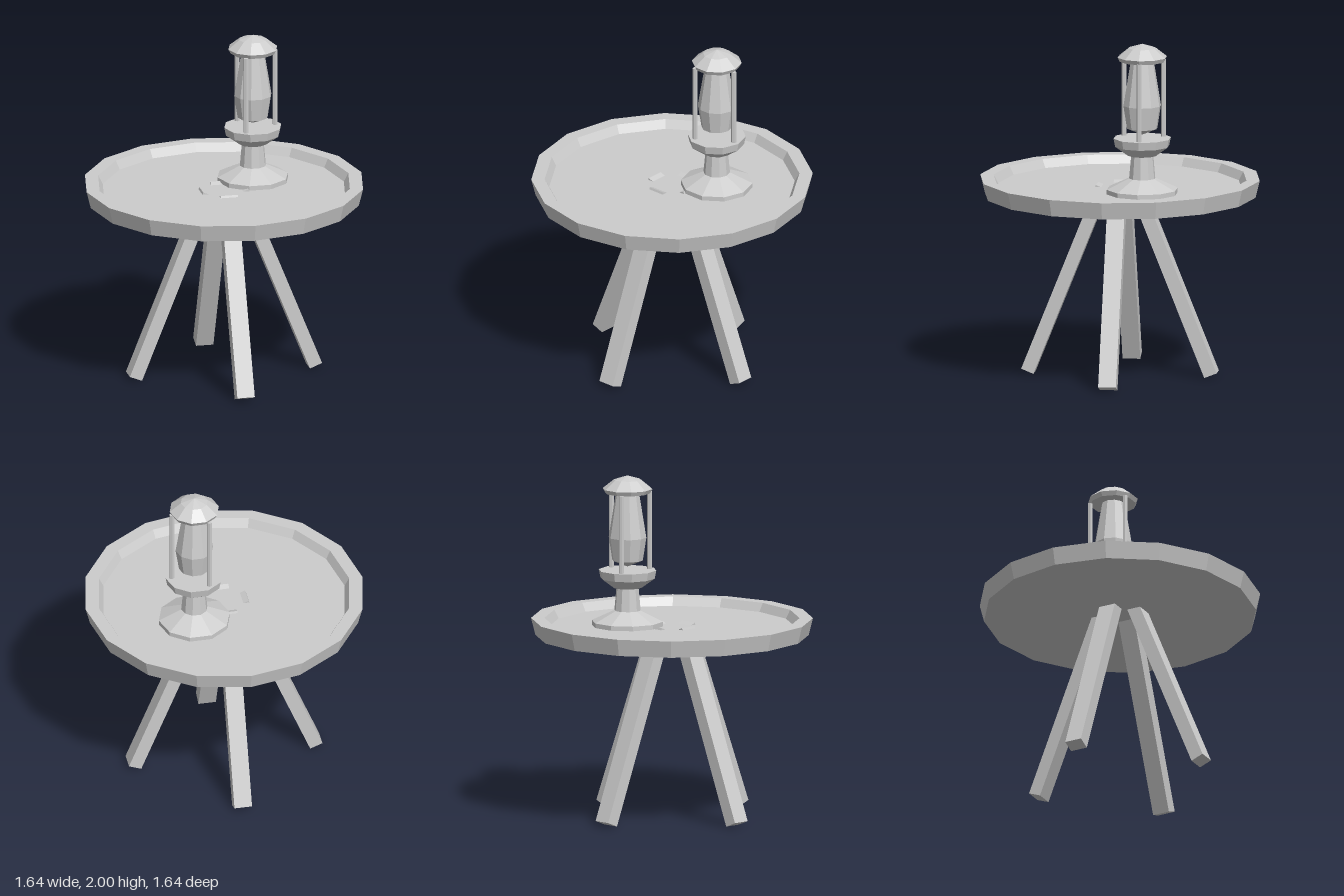
import * as THREE from 'three';

export function createModel() {
  const model = new THREE.Group();
  model.name = 'tableWithLantern';
  const grey = new THREE.MeshStandardMaterial({ color: 0xcccccc, flatShading: true });
  grey.name = 'plainGrey';

  const add = (parent, name, geometry) => {
    const mesh = new THREE.Mesh(geometry, grey);
    mesh.name = name;
    parent.add(mesh);
    return mesh;
  };
  // Faceted turned part; profile is [radius, y] from bottom to top
  const turned = (profile, sides) => new THREE.LatheGeometry(
    profile.map(([r, y]) => new THREE.Vector2(r, y)), sides, Math.PI / 2);

  // Round tray top with a raised rim
  add(model, 'trayTop', turned([
    [0, 1.065], [0.795, 1.065], [0.82, 1.165], [0.742, 1.165], [0.715, 1.115], [0, 1.115],
  ], 16));

  // Four splayed legs, whose tops just break through the tray floor
  for (let i = 0; i < 4; i++) {
    const pivot = new THREE.Group();
    pivot.name = 'leg' + (i + 1);
    pivot.rotation.y = i * Math.PI / 2;
    const leg = add(pivot, 'legBeam', new THREE.BoxGeometry(0.078, 1.182, 0.104));
    leg.position.set(0.318, 0.564, 0);
    leg.rotation.z = 0.38;
    model.add(pivot);
  }

  // Lantern standing off-centre on the tray
  const lantern = new THREE.Group();
  lantern.name = 'lantern';
  lantern.position.set(0.208, 0, -0.158);
  model.add(lantern);

  add(lantern, 'lanternBase', turned([
    [0, 1.115], [0.21, 1.115], [0.21, 1.142], [0.075, 1.206], [0, 1.206],
  ], 10));
  add(lantern, 'lanternStem', turned([[0.078, 1.2], [0.065, 1.345]], 10));
  add(lantern, 'lanternCollar', turned([
    [0, 1.34], [0.085, 1.34], [0.16, 1.395], [0.17, 1.443], [0, 1.443],
  ], 10));
  add(lantern, 'lanternGlass', turned([
    [0, 1.462], [0.09, 1.5], [0.111, 1.635], [0.068, 1.9], [0, 1.9],
  ], 10));
  add(lantern, 'lanternRoof', turned([
    [0, 1.897], [0.133, 1.897], [0.146, 1.922], [0.08, 1.975], [0, 2],
  ], 10));

  // Three slim posts between collar and roof
  for (let i = 0; i < 3; i++) {
    const a = i * Math.PI * 2 / 3;
    const post = add(lantern, 'lanternPost' + (i + 1), new THREE.CylinderGeometry(0.015, 0.015, 0.46, 6));
    post.position.set(0.133 * Math.cos(a), 1.67, 0.133 * Math.sin(a));
  }
  return model;
}
